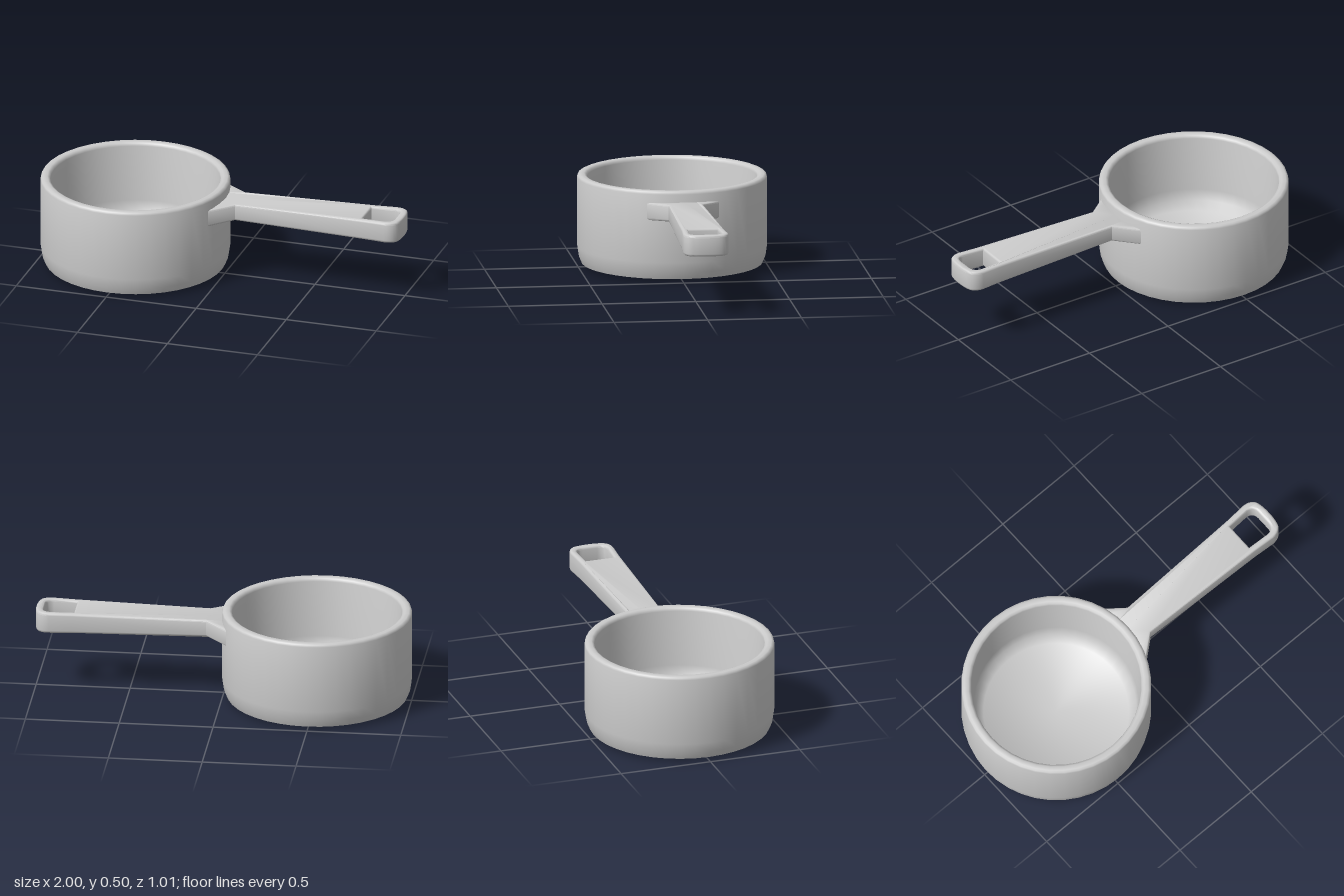
import * as THREE from 'three';
import { toCreasedNormals } from 'three/addons/utils/BufferGeometryUtils.js';

const PAN_X = -0.497;
const grey = new THREE.MeshStandardMaterial({ color: 0xcccccc });

// Bowl: one closed profile, from the underside over the rim to the inner floor
function createBowl() {
  const profile = [
    [0, 0], [0.38, 0], [0.48, 0.018], [0.495, 0.055], [0.503, 0.11],
    [0.503, 0.478], [0.499, 0.49], [0.488, 0.495],
    [0.466, 0.495], [0.454, 0.489], [0.45, 0.475],
    [0.438, 0.17], [0.425, 0.11], [0.385, 0.07], [0, 0.07],
  ].map(([r, y]) => new THREE.Vector2(r, y));
  const geometry = toCreasedNormals(new THREE.LatheGeometry(profile, 40), 0.85);
  const bowl = new THREE.Mesh(geometry, grey);
  bowl.name = 'bowl';
  bowl.position.x = PAN_X;
  return bowl;
}

// Linear blend along the handle: root, neck and tip heights
function heightAt(x, root, neck, tip) {
  if (x < 0.085) return THREE.MathUtils.mapLinear(x, -0.03, 0.085, root, neck);
  return THREE.MathUtils.mapLinear(x, 0.085, 1, neck, tip);
}

// Handle: flared root, widening grip and a hanging hole near the tip
function createHandle() {
  const outline = new THREE.Shape();
  outline.moveTo(-0.05, -0.205);
  outline.lineTo(-0.031, -0.19);
  outline.lineTo(0.085, -0.093);
  outline.lineTo(0.8, -0.113);
  outline.lineTo(0.92, -0.121);
  outline.quadraticCurveTo(0.965, -0.121, 0.985, -0.09);
  outline.quadraticCurveTo(0.999, -0.06, 0.999, 0);
  outline.quadraticCurveTo(0.999, 0.06, 0.985, 0.09);
  outline.quadraticCurveTo(0.965, 0.121, 0.92, 0.121);
  outline.lineTo(0.8, 0.113);
  outline.lineTo(0.085, 0.093);
  outline.lineTo(-0.031, 0.19);
  outline.lineTo(-0.05, 0.205);
  // root edge follows the curved wall of the bowl
  for (let i = 1; i < 6; i++) {
    const a = 0.42 - i * 0.14;
    outline.lineTo(PAN_X + 0.485 * Math.cos(a), 0.485 * Math.sin(a));
  }
  outline.closePath();

  const hole = new THREE.Path();
  hole.moveTo(0.79, -0.078);
  hole.lineTo(0.79, 0.078);
  hole.lineTo(0.915, 0.085);
  hole.quadraticCurveTo(0.956, 0.08, 0.956, 0.04);
  hole.lineTo(0.956, -0.04);
  hole.quadraticCurveTo(0.956, -0.08, 0.915, -0.085);
  hole.closePath();
  outline.holes.push(hole);

  const bevel = 0.012;
  const thickness = 0.1;
  const geometry = new THREE.ExtrudeGeometry(outline, {
    depth: thickness - 2 * bevel, curveSegments: 5,
    bevelEnabled: true, bevelThickness: bevel, bevelSize: bevel, bevelOffset: -bevel, bevelSegments: 3,
  });
  geometry.translate(0, 0, bevel);
  geometry.rotateX(-Math.PI / 2);

  // thicken gently from neck to tip
  const p = geometry.attributes.position;
  for (let i = 0; i < p.count; i++) {
    const x = p.getX(i);
    const bottom = heightAt(x, 0.338, 0.35, 0.34);
    const top = heightAt(x, 0.432, 0.442, 0.455);
    p.setY(i, THREE.MathUtils.lerp(bottom, top, p.getY(i) / thickness));
  }
  const handle = new THREE.Mesh(toCreasedNormals(geometry, 0.6), grey);
  handle.name = 'handle';
  return handle;
}

export function createModel() {
  const saucepan = new THREE.Group();
  saucepan.name = 'saucepan';
  saucepan.add(createBowl(), createHandle());
  return saucepan;
}
